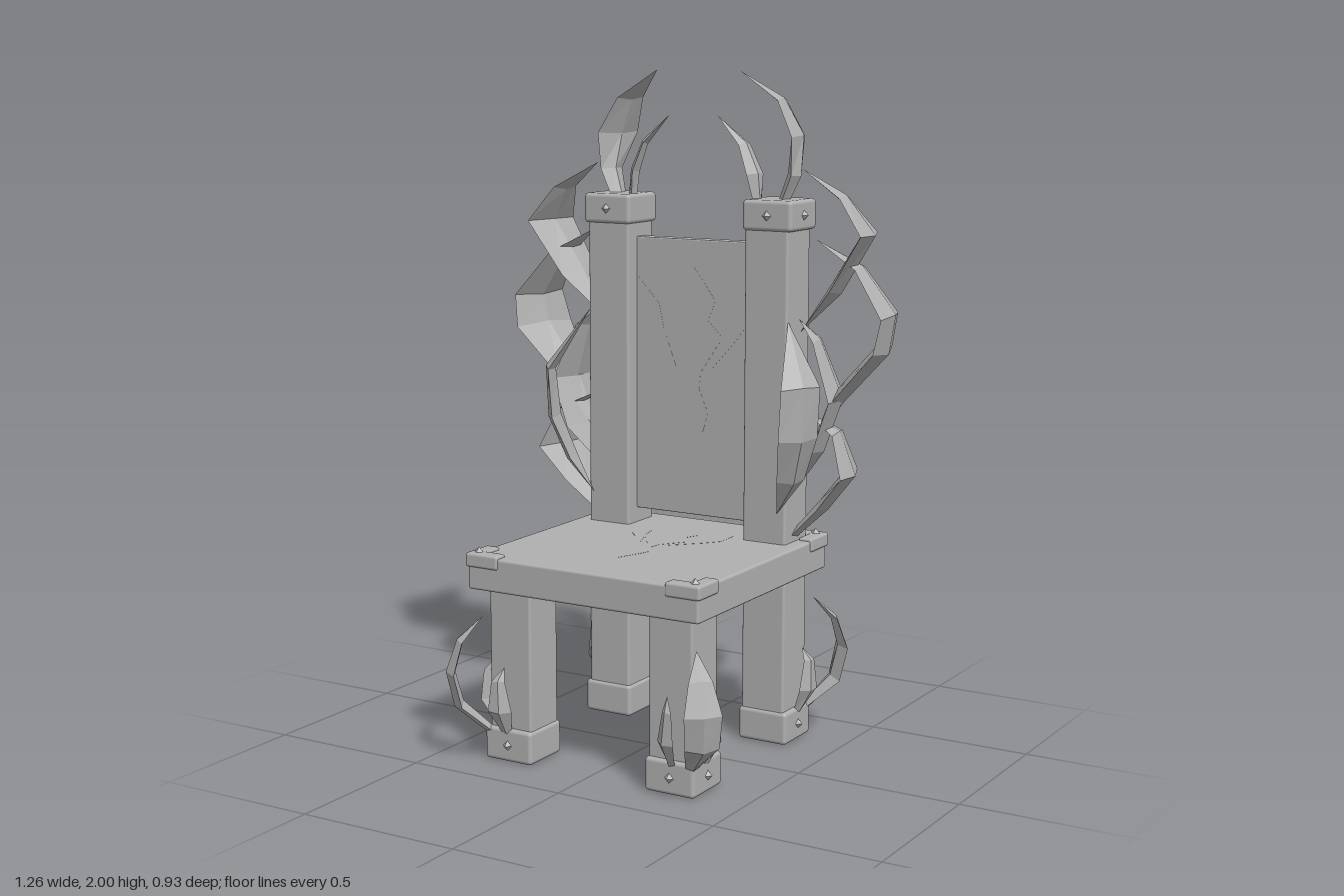
import * as THREE from 'three';
import { RoundedBoxGeometry } from 'three/addons/geometries/RoundedBoxGeometry.js';

const stone = new THREE.MeshStandardMaterial({ color: 0xb0b0b0 });
stone.name = 'grey stone';
const facet = stone;

// Box given by its minimum and maximum corners, with slightly worn edges
function block(name, min, max, radius = 0.008) {
  const size = max.map((v, i) => v - min[i]);
  const mesh = new THREE.Mesh(new RoundedBoxGeometry(...size, 2, radius), stone);
  mesh.position.set(...max.map((v, i) => (v + min[i]) / 2));
  mesh.name = name;
  return mesh;
}

// Faceted blade: diamond cross-sections along a bent spine.
// spine rows are [x, y, z, halfWidth, halfThickness]; side is the width direction;
// sx and sz mirror the blade.
function blade(name, spine, side, sx = 1, sz = 1) {
  const centres = spine.map(p => new THREE.Vector3(p[0] * sx, p[1], p[2] * sz));
  const w = new THREE.Vector3(side[0] * sx, side[1], side[2] * sz).normalize();
  const rings = centres.map((c, i) => {
    const t = centres[Math.min(i + 1, centres.length - 1)].clone()
      .sub(centres[Math.max(i - 1, 0)]).normalize();
    const n = new THREE.Vector3().crossVectors(t, w).normalize();
    const [hw, ht] = [spine[i][3], spine[i][4]];
    return [[w, hw], [n, ht], [w, -hw], [n, -ht]].map(([d, s]) => c.clone().addScaledVector(d, s));
  });
  const pos = [];
  for (let i = 0; i < rings.length - 1; i++) {
    for (let k = 0; k < 4; k++) {
      const a = rings[i][k], b = rings[i][(k + 1) % 4];
      const c = rings[i + 1][(k + 1) % 4], d = rings[i + 1][k];
      for (const v of [a, b, c, a, c, d]) pos.push(v.x, v.y, v.z);
    }
  }
  const geo = new THREE.BufferGeometry();
  geo.setAttribute('position', new THREE.Float32BufferAttribute(pos, 3));
  geo.computeVertexNormals();
  const mesh = new THREE.Mesh(geo, facet);
  mesh.name = name;
  return mesh;
}

// Small pyramid rivet
function stud(x, y, z) {
  const geo = new THREE.OctahedronGeometry(0.015);
  const mesh = new THREE.Mesh(geo, stone);
  mesh.position.set(x, y, z);
  mesh.name = 'stud';
  return mesh;
}

// Flush ornament drawn as a pointed central figure and two flanking wings
function ornament() {
  const group = new THREE.Group();
  group.name = 'inlay';
  const half = [[0, 0.34], [0.075, 0.24], [0.05, 0.18], [0.1, 0.13], [0.025, 0.02],
    [0.02, -0.03], [0.05, -0.1], [0.04, -0.14], [0, -0.25]];
  const centre = [...half, ...half.slice(1, -1).reverse().map(([x, y]) => [-x, y])];
  const wing = [[0.195, 0.3], [0.12, 0.22], [0.105, 0.15], [0.06, 0.03], [0.15, 0.13], [0.195, 0.19]];
  for (const outline of [centre, wing, wing.map(([x, y]) => [-x, y])]) {
    const shape = new THREE.Shape(outline.map(p => new THREE.Vector2(...p)));
    const geo = new THREE.ExtrudeGeometry(shape, { depth: 0.002, bevelEnabled: false });
    const plate = new THREE.Mesh(geo, stone);
    plate.name = 'inlayPlate';
    group.add(plate);
  }
  return group;
}

// Side growths beside the backrest, for the +x side
const sideBlades = [
  [[0.35, 1.72, -0.27, 0, 0], [0.48, 1.64, -0.28, 0.05, 0.012], [0.55, 1.535, -0.305, 0.1, 0.02],
    [0.445, 1.37, -0.31, 0.08, 0.02], [0.34, 1.24, -0.29, 0, 0]],
  [[0.38, 1.515, -0.3, 0, 0], [0.515, 1.435, -0.32, 0.06, 0.012], [0.61, 1.3, -0.325, 0.105, 0.02],
    [0.59, 1.2, -0.325, 0.12, 0.022], [0.46, 1.05, -0.3, 0.07, 0.02], [0.36, 0.86, -0.29, 0, 0]],
  [[0.34, 1.28, -0.28, 0, 0], [0.4, 1.22, -0.28, 0.05, 0.012], [0.46, 1.05, -0.29, 0.09, 0.02],
    [0.41, 0.9, -0.28, 0.08, 0.018], [0.33, 0.76, -0.28, 0, 0]],
  [[0.36, 1.01, -0.28, 0, 0], [0.465, 0.95, -0.29, 0.06, 0.012], [0.505, 0.83, -0.29, 0.1, 0.02],
    [0.425, 0.73, -0.29, 0.08, 0.018], [0.32, 0.62, -0.28, 0.03, 0.01]],
];
const frontBlade = [[0.34, 1.28, -0.21, 0, 0], [0.43, 1.1, -0.12, 0.07, 0.016],
  [0.42, 0.95, -0.125, 0.07, 0.02], [0.38, 0.82, -0.16, 0.05, 0.018], [0.32, 0.71, -0.19, 0, 0]];

// Horns on the post caps
const tallHorn = [[0.14, 2.0, -0.27, 0, 0], [0.26, 1.915, -0.31, 0.055, 0.01],
  [0.31, 1.81, -0.32, 0.085, 0.018], [0.315, 1.7, -0.29, 0.045, 0.02], [0.28, 1.61, -0.28, 0.03, 0.015]];
const shortHorn = [[0.08, 1.87, -0.245, 0, 0], [0.17, 1.785, -0.25, 0.025, 0.01],
  [0.205, 1.7, -0.25, 0.035, 0.014], [0.215, 1.61, -0.25, 0.015, 0.012]];

// Growths on a leg, for the +x +z leg
const legBlade = [[0.36, 0.43, 0.35, 0, 0], [0.405, 0.36, 0.405, 0.035, 0.01],
  [0.425, 0.27, 0.425, 0.055, 0.014], [0.41, 0.17, 0.405, 0.05, 0.016], [0.345, 0.09, 0.345, 0.02, 0.012]];
const frontSprout = [[0.275, 0.29, 0.365, 0, 0], [0.285, 0.25, 0.385, 0.02, 0.008],
  [0.28, 0.16, 0.385, 0.035, 0.014], [0.28, 0.09, 0.35, 0.015, 0.01]];
const sideSprout = frontSprout.map(([x, y, z, w, t]) => [z, y, x, w, t]);

export function createModel() {
  const model = new THREE.Group();
  model.name = 'chair';

  // Seat slab and backrest panel
  model.add(block('seat', [-0.386, 0.515, -0.386], [0.386, 0.615, 0.386]));
  model.add(block('backPanel', [-0.21, 0.66, -0.3], [0.21, 1.5, -0.25], 0.004));

  const backInlay = ornament();
  backInlay.position.set(0, 1.08, -0.2515);
  model.add(backInlay);
  const seatInlay = ornament();
  seatInlay.rotation.x = -Math.PI / 2;
  seatInlay.scale.set(0.8, 0.75, 1);
  seatInlay.position.set(0, 0.6135, 0.0);
  model.add(seatInlay);

  for (const sx of [1, -1]) {
    const span = (a, b) => (sx > 0 ? [a, b] : [-b, -a]);
    const [px0, px1] = span(0.2, 0.342);
    const [cx0, cx1] = span(0.193, 0.355);

    // Back post cap
    model.add(block('postCap', [cx0, 1.54, -0.357], [cx1, 1.63, -0.193], 0.012));
    model.add(stud(sx * 0.275, 1.585, -0.193), stud(sx * 0.275, 1.585, -0.357),
      stud(sx * 0.355, 1.585, -0.275));

    // Horns and side growths
    model.add(blade('tallHorn', tallHorn, [0.25, 0, 1], sx));
    model.add(blade('shortHorn', shortHorn, [-0.3, 0, 1], sx));
    for (const spine of sideBlades) model.add(blade('sideBlade', spine, [0.2, 0, 1], sx));
    model.add(blade('frontBlade', frontBlade, [-0.5, 0, 1], sx));

    for (const sz of [1, -1]) {
      const zSpan = (a, b) => (sz > 0 ? [a, b] : [-b, -a]);
      const [pz0, pz1] = zSpan(0.2, 0.342);
      const [cz0, cz1] = zSpan(0.193, 0.355);

      // Legs; the rear pair rises into the backrest posts
      const top = sz > 0 ? 0.53 : 1.6;
      model.add(block(sz > 0 ? 'frontLeg' : 'backPost', [px0, 0.02, pz0], [px1, top, pz1]));
      model.add(block('foot', [cx0, 0, cz0], [cx1, 0.1, cz1], 0.012));
      model.add(stud(sx * 0.275, 0.05, sz * 0.355), stud(sx * 0.355, 0.05, sz * 0.275));

      // Leg growths
      model.add(blade('legBlade', legBlade, [1, 0, -1], sx, sz));
      model.add(blade('legSprout', frontSprout, [1, 0, 0.4], sx, sz));
      model.add(blade('legSprout', sideSprout, [0.4, 0, 1], sx, sz));

      // L-shaped seat corner bracket
      const [ax0, ax1] = span(0.28, 0.392), [az0, az1] = zSpan(0.346, 0.392);
      const [bx0, bx1] = span(0.346, 0.392), [bz0, bz1] = zSpan(0.28, 0.392);
      model.add(block('cornerBracket', [ax0, 0.582, az0], [ax1, 0.624, az1]));
      model.add(block('cornerBracket', [bx0, 0.582, bz0], [bx1, 0.624, bz1]));
      model.add(stud(sx * 0.362, 0.624, sz * 0.362));
    }
  }
  return model;
}
